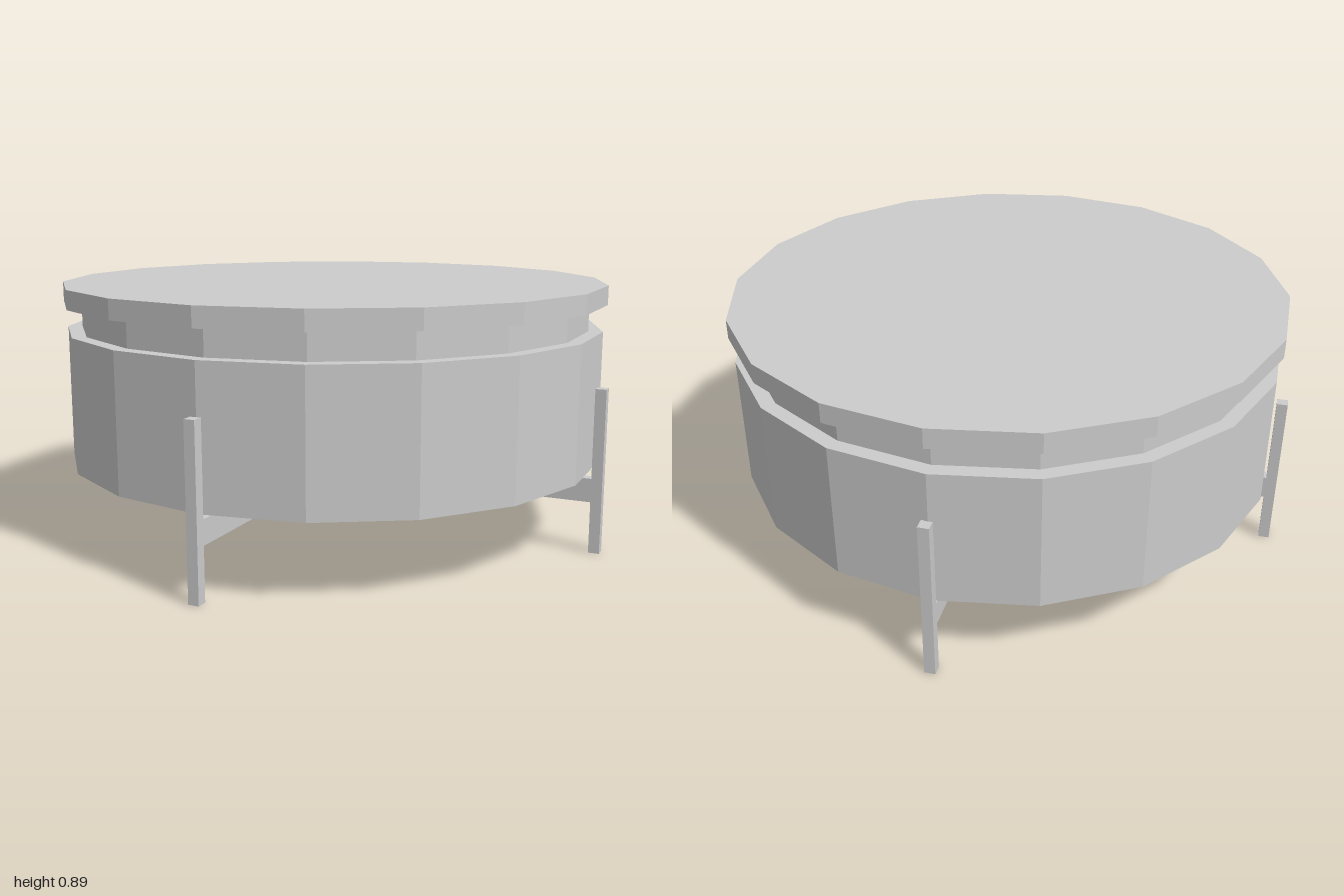
import * as THREE from 'three';

export function createModel() {
  const group = new THREE.Group();
  const material = new THREE.MeshStandardMaterial({ color: 0xcccccc, flatShading: true });

  function add(name, geometry, x, y, z) {
    const mesh = new THREE.Mesh(geometry, material);
    mesh.name = name;
    mesh.position.set(x, y, z);
    group.add(mesh);
    return mesh;
  }

  // 18-sided drum, stacked from the bottom: name, radius, bottom, top
  const tiers = [
    ['body', 0.96, 0.27, 0.735],
    ['neck', 0.91, 0.735, 0.828],
    ['lid', 0.972, 0.828, 0.895],
  ];
  for (const [name, radius, bottom, top] of tiers) {
    add(name, new THREE.CylinderGeometry(radius, radius, top - bottom, 18),
      -0.004, (bottom + top) / 2, -0.006);
  }

  // Four upright legs around the drum
  const thick = 0.037;
  const legHeight = 0.568;
  const legCentre = 1 - thick / 2;
  const legNames = ['frontLeg', 'leftLeg', 'backLeg', 'rightLeg'];
  legNames.forEach((name, i) => {
    const a = (i * Math.PI) / 2;
    add(name, new THREE.BoxGeometry(thick, legHeight, thick),
      Math.sin(a) * legCentre, legHeight / 2, Math.cos(a) * legCentre);
  });

  // Crossed rails under the drum, the second split in two around the first
  const railBottom = 0.178;
  const railHeight = 0.082;
  const railY = railBottom + railHeight / 2;
  const span = 2 - 2 * thick;
  add('sideRail', new THREE.BoxGeometry(span, railHeight, thick), 0, railY, 0);
  const half = (span - thick) / 2;
  for (const [name, s] of [['frontRail', 1], ['backRail', -1]]) {
    add(name, new THREE.BoxGeometry(thick, railHeight, half),
      0, railY, s * (thick + half) / 2);
  }

  return group;
}
